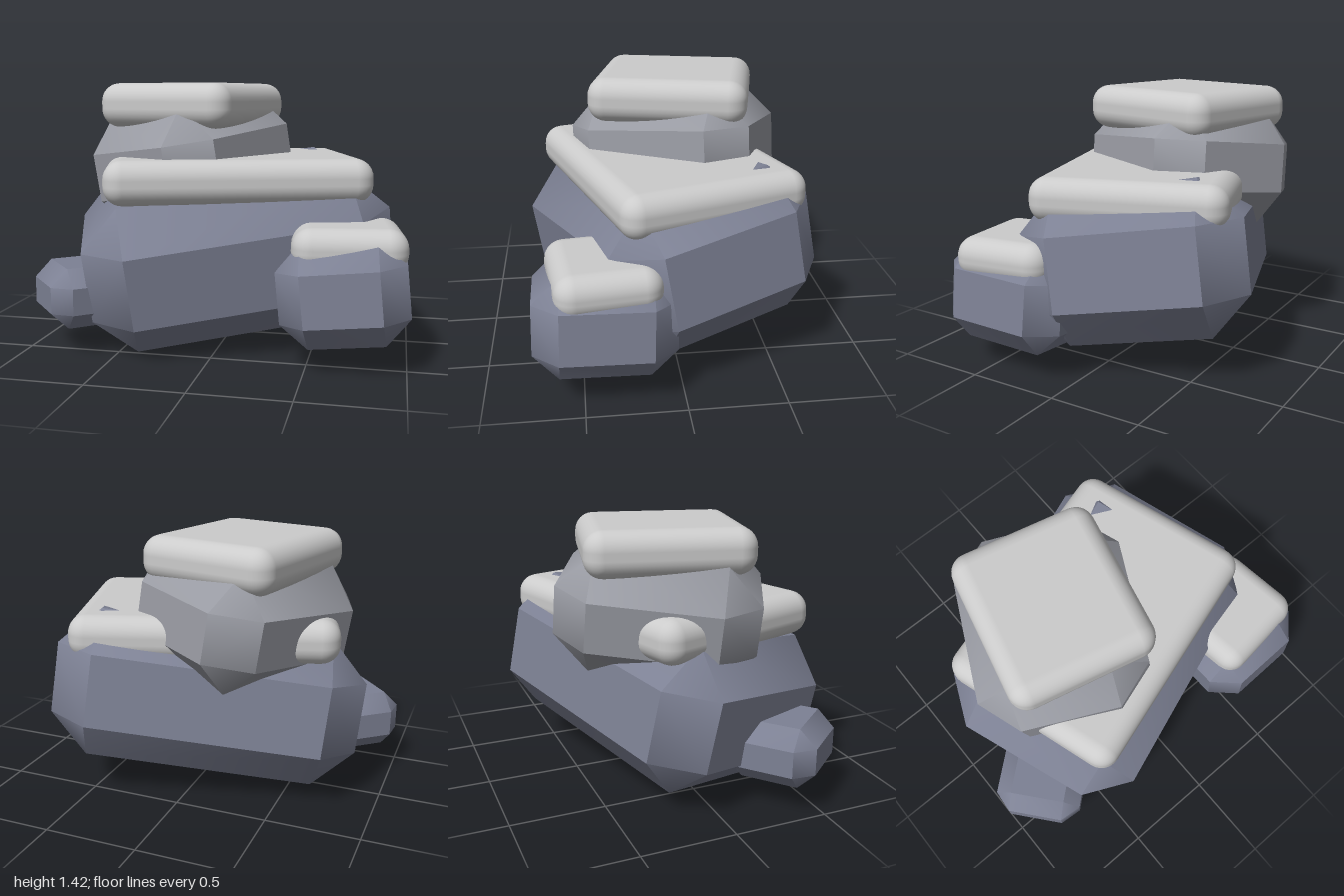
import * as THREE from 'three';
import { toCreasedNormals } from 'three/addons/utils/BufferGeometryUtils.js';
import { ConvexGeometry } from 'three/addons/geometries/ConvexGeometry.js';
import { RoundedBoxGeometry } from 'three/addons/geometries/RoundedBoxGeometry.js';

const mat = (color) => new THREE.MeshStandardMaterial({ color });

// Box with every edge cut by c; cut faces blend into each other, flat sides stay sharp
function chamferedBox(w, h, d, c) {
  const half = [w / 2, h / 2, d / 2];
  const points = [];
  for (const sx of [-1, 1]) for (const sy of [-1, 1]) for (const sz of [-1, 1]) {
    for (let axis = 0; axis < 3; axis++) {
      const [x, y, z] = half.map((v, i) => (i === axis ? v : v - c));
      points.push(new THREE.Vector3(sx * x, sy * y, sz * z));
    }
  }
  return toCreasedNormals(new ConvexGeometry(points), THREE.MathUtils.degToRad(40));
}

// Turn about the vertical, then lean so that the block's top points along up
function place(mesh, name, position, yaw, up = [0, 1, 0]) {
  const yAxis = new THREE.Vector3(0, 1, 0);
  const lean = new THREE.Quaternion().setFromUnitVectors(yAxis, new THREE.Vector3(...up).normalize());
  const turn = new THREE.Quaternion().setFromAxisAngle(yAxis, THREE.MathUtils.degToRad(yaw));
  mesh.quaternion.copy(lean.multiply(turn));
  mesh.position.set(...position);
  mesh.name = name;
  return mesh;
}

export function createModel() {
  const group = new THREE.Group();
  group.name = 'snowyRocks';
  const darkStone = mat(0x7d8194);
  const paleStone = mat(0x999ba3);
  const snow = mat(0xcccccc);

  const rock = (name, size, cut, position, yaw, up, material) =>
    group.add(place(new THREE.Mesh(chamferedBox(...size, cut), material), name, position, yaw, up));
  const cap = (name, size, position, yaw) =>
    group.add(place(new THREE.Mesh(new RoundedBoxGeometry(...size, 4, 0.1), snow), name, position, yaw));

  // Rocks: large base, upper boulder, and one small stone at each side
  rock('baseRock', [1.64, 0.8, 1.16], 0.21, [0.01, 0.52, 0], 20, [-0.08, 1, 0.17], darkStone);
  rock('upperRock', [0.9, 0.64, 1.04], 0.19, [-0.23, 0.98, -0.08], -27, [-0.15, 1, 0.03], paleStone);
  rock('leftStone', [0.64, 0.52, 0.71], 0.13, [0.68, 0.39, 0.39], 1, [-0.1, 1, -0.03], darkStone);
  rock('rightStone', [0.48, 0.32, 0.48], 0.09, [-0.72, 0.3, 0.39], 40, [0, 1, 0], darkStone);

  // Snow lying level on the rocks
  cap('baseSnow', [1.4, 0.235, 1.02], [0.01, 0.912, 0], 17.5);
  cap('upperSnow', [0.78, 0.24, 0.86], [-0.22, 1.3, -0.07], -13.5);
  cap('leftSnow', [0.57, 0.22, 0.53], [0.69, 0.61, 0.39], 7);

  return group;
}
